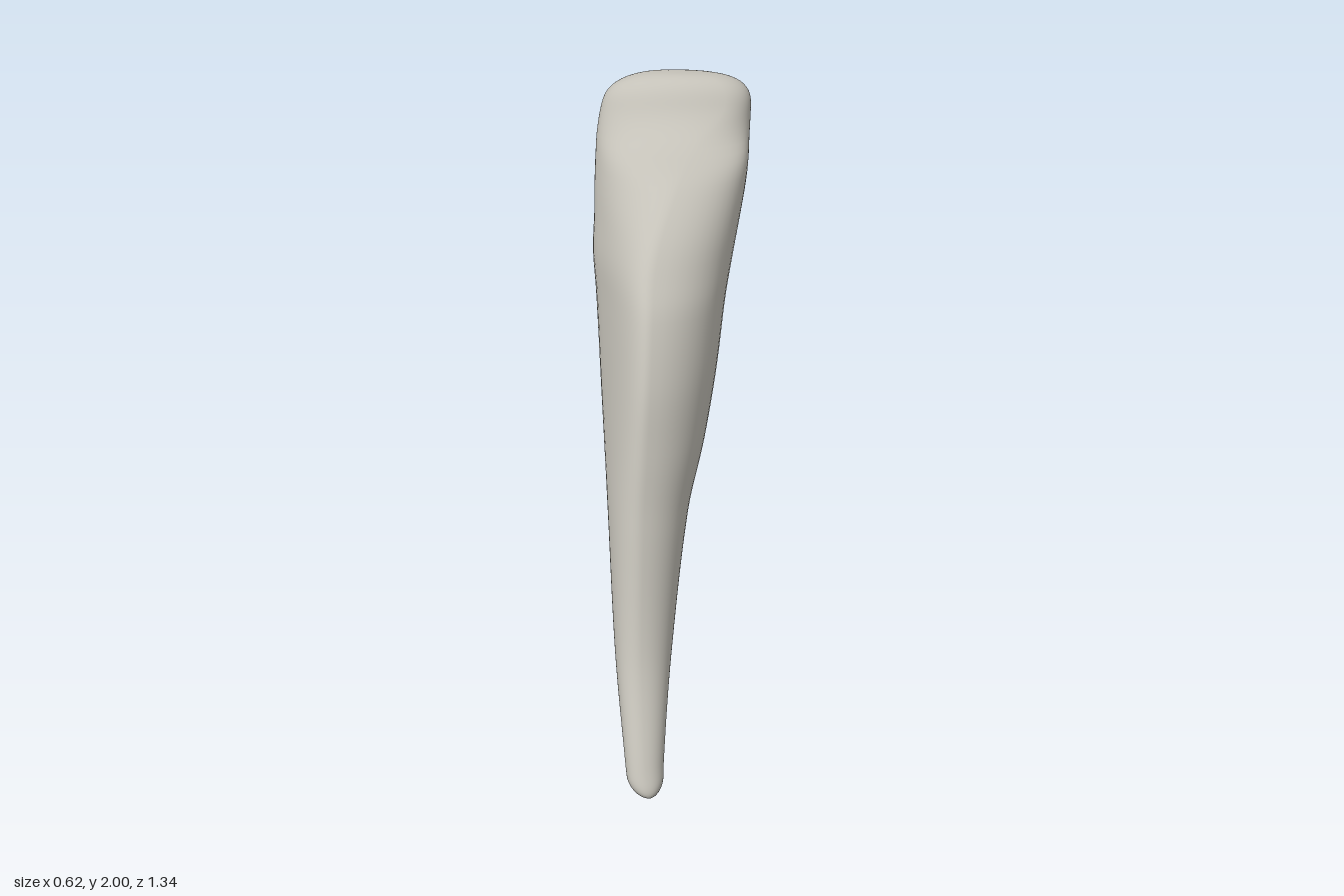
import * as THREE from 'three';

const { lerp, smoothstep } = THREE.MathUtils;

// Horizontal sections: [y, xLow, xHigh, zFront, zBack, z at xLow, z at xHigh, x at zFront]
const SECTIONS = [
  [0.00, -0.31, -0.20, 0.68, 0.57, 0.63, 0.61, -0.26],
  [0.10, -0.31, -0.187, 0.632, 0.495, 0.58, 0.55, -0.26],
  [0.40, -0.302, -0.122, 0.49, 0.28, 0.41, 0.36, -0.24],
  [0.80, -0.286, -0.032, 0.385, 0.065, 0.24, 0.17, -0.21],
  [1.00, -0.27, 0.04, 0.345, -0.125, 0.13, 0.06, -0.19],
  [1.20, -0.25, 0.105, 0.30, -0.345, 0.01, -0.08, -0.17],
  [1.40, -0.23, 0.16, 0.22, -0.495, -0.12, -0.21, -0.145],
  [1.50, -0.22, 0.195, 0.15, -0.55, -0.21, -0.27, -0.125],
  [1.60, -0.197, 0.23, 0.065, -0.585, -0.31, -0.32, -0.085],
  [1.70, -0.175, 0.264, -0.05, -0.615, -0.43, -0.365, -0.02],
  [1.76, -0.163, 0.28, -0.14, -0.635, -0.48, -0.385, 0.03],
  [1.82, -0.15, 0.293, -0.28, -0.65, -0.53, -0.41, 0.11],
  [1.90, -0.128, 0.307, -0.36, -0.668, -0.565, -0.45, 0.2],
  [2.00, -0.09, 0.315, -0.40, -0.675, -0.58, -0.47, 0.23],
];

// Smooth blend of the section values at height y
function sectionAt(y) {
  const last = SECTIONS.length - 1;
  let i = 0;
  while (i < last - 1 && SECTIONS[i + 1][0] < y) i++;
  const a = SECTIONS[Math.max(i - 1, 0)], b = SECTIONS[i];
  const c = SECTIONS[i + 1], d = SECTIONS[Math.min(i + 2, last)];
  const h = c[0] - b[0], u = (y - b[0]) / h;
  return b.map((v, k) => {
    const m0 = h * (c[k] - a[k]) / (c[0] - a[0]);
    const m1 = h * (d[k] - v) / (d[0] - b[0]);
    return v + u * (m0 + u * (3 * (c[k] - v) - 2 * m0 - m1 + u * (2 * (v - c[k]) + m0 + m1)));
  });
}

// Closed outline of four quarter arcs joining the outermost points of a section
function outlineAt(y, sides) {
  const [, xL, xR, zF, zB, zL, zR, xF] = sectionAt(y);
  const xB = lerp(xL, xR, lerp(0.68, 0.2, smoothstep(y, 1.1, 1.85)));
  const skew = 0.95 - 0.13 * smoothstep(y, 0.5, 1.1) + 0.38 * smoothstep(y, 1.5, 1.9);
  // The root tip and the biting edge close with a rounded shrink towards a centre
  const atTip = y < 1;
  const [centreX, centreZ] = atTip ? [-0.255, 0.662] : [0.14, -0.5];
  const power = atTip ? 2 : 2.8;
  const reach = atTip ? Math.max(0, 1 - y / 0.06) : Math.max(0, (y - 1.9) / 0.1);
  const scale = Math.max(0, 1 - reach ** power) ** (1 / power);
  return Array.from({ length: sides }, (_, j) => {
    const angle = (j / sides) * Math.PI * 2;
    const c = Math.cos(angle), s = Math.sin(angle);
    const p = c * s < 0 ? skew : 0.95;
    const xMid = s >= 0 ? xF : xB, zMid = c >= 0 ? zR : zL;
    const x = lerp(xMid, c >= 0 ? xR : xL, Math.abs(c) ** p);
    const z = lerp(zMid, s >= 0 ? zF : zB, Math.abs(s) ** p);
    return [lerp(centreX, x, scale), y, lerp(centreZ, z, scale)];
  });
}

function loftGeometry(rings, sides) {
  const positions = [], index = [];
  for (let i = 0; i <= rings; i++) {
    // Rings crowd together at both rounded ends
    const y = 1 - Math.cos((i / rings) * Math.PI);
    positions.push(...outlineAt(y, sides).flat());
  }
  for (let i = 0; i < rings; i++) {
    for (let j = 0; j < sides; j++) {
      const a = i * sides + j, b = i * sides + (j + 1) % sides;
      index.push(a, a + sides, b, b, a + sides, b + sides);
    }
  }
  const geometry = new THREE.BufferGeometry();
  geometry.setAttribute('position', new THREE.Float32BufferAttribute(positions, 3));
  geometry.setIndex(index);
  geometry.computeVertexNormals();
  return geometry;
}

export function createModel() {
  const group = new THREE.Group();
  group.name = 'incisorTooth';
  const enamel = new THREE.MeshStandardMaterial({ color: 0xc4c1b8 });
  enamel.name = 'ivory grey';
  // Root and crown in one continuous surface
  const tooth = new THREE.Mesh(loftGeometry(96, 64), enamel);
  tooth.name = 'rootAndCrown';
  group.add(tooth);
  return group;
}
